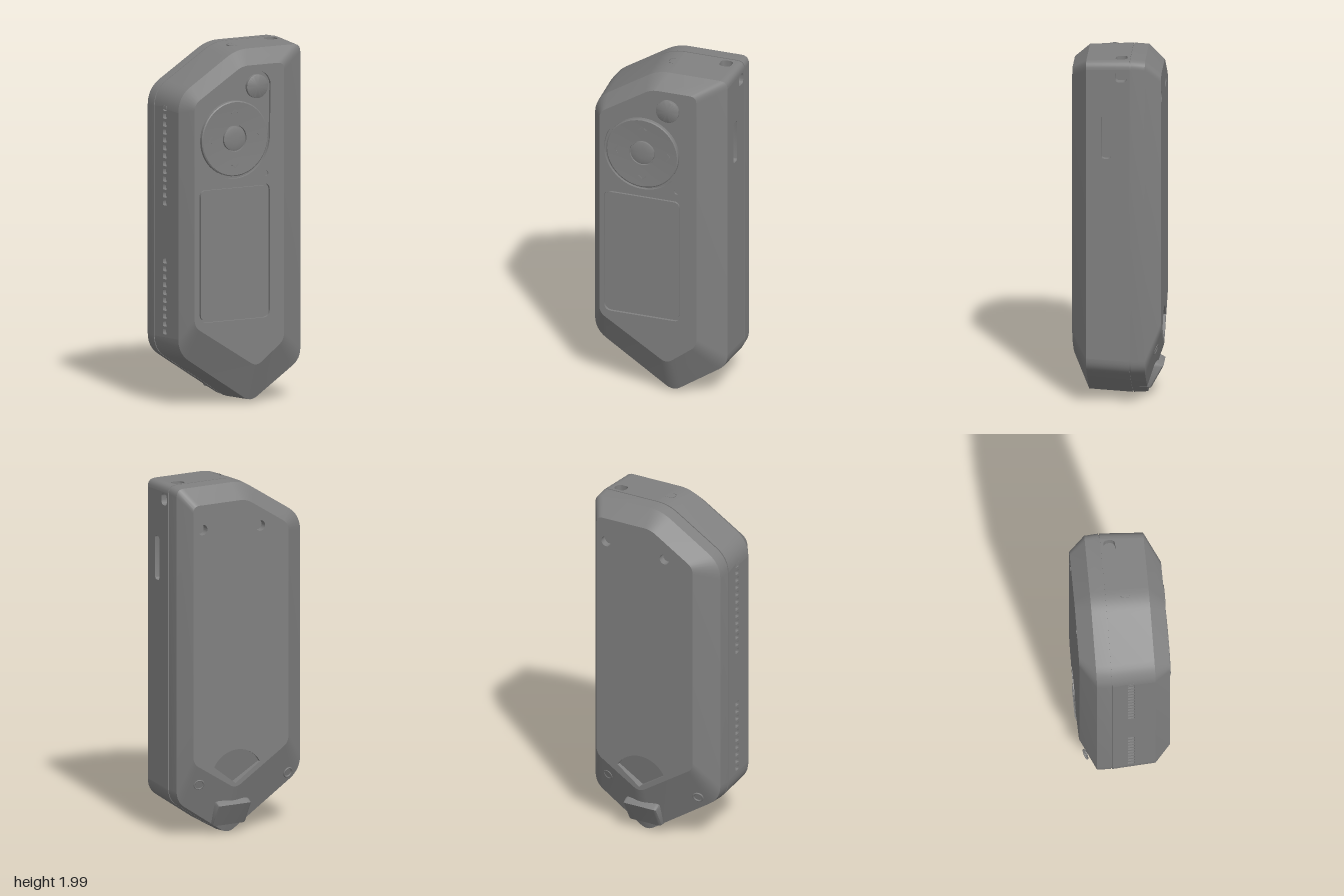
import * as THREE from 'three';
import { toCreasedNormals } from 'three/addons/utils/BufferGeometryUtils.js';

const grey = new THREE.MeshStandardMaterial({ color: 0x808080, side: THREE.DoubleSide });
grey.name = 'casing grey';
const V2 = (x, y) => new THREE.Vector2(x, y);
const STEPS = 6;

// Polygon with each corner cut back and rounded; STEPS + 1 points per corner
function rounded(corners, cuts, steps = STEPS) {
  const c = corners.map(([x, y]) => V2(x, y)), out = [];
  c.forEach((p, i) => {
    const cut = Array.isArray(cuts) ? cuts[i] : cuts;
    const toward = (q) => p.clone().add(q.clone().sub(p).setLength(cut));
    const a = toward(c[(i + c.length - 1) % c.length]), b = toward(c[(i + 1) % c.length]);
    out.push(...new THREE.QuadraticBezierCurve(a, p, b).getPoints(steps));
  });
  return out;
}
const rect = (x0, x1, y0, y1, r, steps) => rounded([[x0, y0], [x1, y0], [x1, y1], [x0, y1]], r, steps);

function arc(cx, cy, r, a0 = 0, a1 = Math.PI * 2, n = 40) {
  const full = a1 - a0 > 6.28, pts = [];
  for (let i = 0; i < (full ? n : n + 1); i++) {
    const a = a0 + (a1 - a0) * i / n;
    pts.push(V2(cx + r * Math.cos(a), cy + r * Math.sin(a)));
  }
  return pts;
}

function soup(points) {
  const g = new THREE.BufferGeometry().setFromPoints(points);
  g.computeVertexNormals();
  return g;
}

// Flat wall with sunk pockets; map(u, v, depth) places it in space
function panel(outline, pockets, map, flip) {
  const tris = [];
  const tri = (a, b, c) => tris.push(...(flip ? [a, c, b] : [a, b, c]));
  const fill = (shape, depth) => {
    const g = new THREE.ShapeGeometry(shape), p = g.attributes.position, id = g.index.array;
    const at = (i) => map(p.getX(i), p.getY(i), depth(p.getX(i), p.getY(i)));
    for (let i = 0; i < id.length; i += 3) tri(at(id[i]), at(id[i + 1]), at(id[i + 2]));
  };
  const face = new THREE.Shape(outline);
  for (const { pts, depth } of pockets) {
    const d = typeof depth === 'function' ? depth : () => depth;
    face.holes.push(new THREE.Path(pts));
    fill(new THREE.Shape(pts), d);
    pts.forEach((a, i) => {
      const b = pts[(i + 1) % pts.length];
      const a0 = map(a.x, a.y, 0), b0 = map(b.x, b.y, 0);
      const a1 = map(a.x, a.y, d(a.x, a.y)), b1 = map(b.x, b.y, d(b.x, b.y));
      tri(a0, b0, b1);
      tri(a0, b1, a1);
    });
  }
  fill(face, () => 0);
  return toCreasedNormals(soup(tris), 0.5);
}

export function createModel() {
  const group = new THREE.Group();
  const add = (name, geometry, x = 0, y = 0, z = 0) => {
    const m = new THREE.Mesh(geometry, grey);
    m.name = name;
    m.position.set(x, y, z);
    group.add(m);
    return m;
  };

  // Casing cross-sections, front to back
  const cuts = [0.05, 0.06, 0.045, 0.07, 0.09, 0.08];
  const full = [[0.07, 0], [0.4, 0.22], [0.4, 2], [-0.02, 2], [-0.4, 1.76], [-0.4, 0.31]];
  const groove = full.map(([x, y]) => [x * 0.985, 1 + (y - 1) * 0.994]);
  const rings = [
    [0.245, [[0.06, 0.225], [0.235, 0.36], [0.235, 1.91], [-0.03, 1.91], [-0.333, 1.72], [-0.333, 0.475]], 0.04],
    [0.16, [[0.07, 0.015], [0.387, 0.23], [0.387, 1.99], [-0.02, 1.99], [-0.388, 1.755], [-0.388, 0.32]], cuts],
    [-0.081, full, cuts],
    [-0.081, groove, cuts],
    [-0.088, groove, cuts],
    [-0.088, full, cuts],
    [-0.165, [[0.07, 0.005], [0.396, 0.223], [0.396, 1.995], [-0.02, 1.995], [-0.396, 1.757], [-0.396, 0.313]], cuts],
    [-0.252, [[0.07, 0.28], [0.34, 0.45], [0.34, 1.91], [0.0, 1.91], [-0.27, 1.74], [-0.27, 0.5]], 0.04],
  ].map(([z, c, cut]) => ({ z, pts: rounded(c, cut) }));

  // Casing sides; the right, top and left walls of the front half are panels with openings
  const count = rings[0].pts.length, N = STEPS + 1, sides = [];
  const panelEdges = [1, 2, 4].map((e) => e * N + STEPS);
  for (let k = 0; k < rings.length - 1; k++) {
    for (let i = 0; i < count; i++) {
      if (k === 1 && panelEdges.includes(i)) continue;
      const j = (i + 1) % count;
      const at = (r, n) => new THREE.Vector3(r.pts[n].x, r.pts[n].y, r.z);
      const a = at(rings[k], i), b = at(rings[k], j), c = at(rings[k + 1], i), d = at(rings[k + 1], j);
      sides.push(a, c, b, b, c, d);
    }
  }
  add('casingSides', toCreasedNormals(soup(sides), 0.45));

  const front = rings[1], seam = rings[2];
  function wall(name, edge, axis, sign, flip, pockets) {
    const s = axis === 'x' ? 'y' : 'x', i = edge * N + STEPS, j = (i + 1) % count;
    const outline = [V2(front.pts[i][s], front.z), V2(front.pts[j][s], front.z),
      V2(seam.pts[j][s], seam.z), V2(seam.pts[i][s], seam.z)];
    const map = (u, z, d) => {
      const t = (front.z - z) / (front.z - seam.z);
      const h = front.pts[i][axis] * (1 - t) + seam.pts[i][axis] * t - sign * d;
      return axis === 'x' ? new THREE.Vector3(h, u, z) : new THREE.Vector3(u, h, z);
    };
    add(name, panel(outline, pockets, map, flip));
  }
  wall('leftWall', 1, 'x', 1, false, [
    { pts: rect(1.44, 1.69, 0.024, 0.074, 0.018), depth: 0.03 },
    { pts: rect(1.88, 1.945, -0.065, 0, 0.025), depth: 0.05 },
  ]);
  wall('topWall', 2, 'y', 1, true, [
    { pts: rect(0, 0.17, 0, 0.057, 0.028), depth: 0.03 },
    { pts: rect(0.275, 0.345, -0.065, 0, 0.028), depth: 0.05 },
  ]);
  const vents = [];
  for (const [start, n] of [[1.13, 13], [0.41, 10]]) {
    for (let i = 0; i < n; i++) {
      const y = start + i * 0.044;
      vents.push({ pts: rect(y, y + 0.028, 0.005, 0.042, 0.006, 2), depth: 0.02 });
    }
  }
  wall('rightWall', 4, 'x', -1, true, vents);
  add('portTongue', new THREE.BoxGeometry(0.13, 0.022, 0.016), 0.085, 1.974, 0.0285);

  // Front face with screen, keypad and indicator recesses
  const pad = V2(-0.08, 1.51), small = V2(0.065, 1.79), R = 0.225, r = 0.085;
  const d = small.clone().sub(pad), phi = d.angle(), alpha = Math.acos((R - r) / d.length());
  const teardrop = [...arc(small.x, small.y, r, phi - alpha, phi + alpha, 20),
    ...arc(pad.x, pad.y, R, phi + alpha, phi - alpha + Math.PI * 2, 40)];
  const zf = rings[0].z;
  add('frontFace', panel(rings[0].pts, [
    { pts: rect(-0.305, 0.145, 0.495, 1.245, 0.045), depth: 0.015 },
    { pts: teardrop, depth: 0.015 },
    { pts: arc(0.12, 1.3, 0.015, 0, Math.PI * 2, 16), depth: 0.01 },
  ], (x, y, dd) => new THREE.Vector3(x, y, zf - dd), false));
  add('screen', new THREE.ExtrudeGeometry(new THREE.Shape(rect(-0.293, 0.133, 0.507, 1.233, 0.035)),
    { depth: 0.013, bevelEnabled: false }), 0, 0, zf - 0.015);

  // Buttons: slightly dished pad, domed centre, small upper button
  const turned = (name, profile, x, y) => {
    const g = new THREE.LatheGeometry(profile.map(([a, b]) => V2(a, b)), 48).rotateX(Math.PI / 2);
    add(name, toCreasedNormals(g, 0.6), x, y, zf);
  };
  turned('directionPad', [[0.21, -0.015], [0.21, 0.004], [0.204, 0.008], [0.14, 0.004], [0.075, 0.002], [0.075, -0.012]], pad.x, pad.y);
  turned('centreButton', [[0.068, -0.015], [0.068, 0.003], [0.055, 0.007], [0.03, 0.009], [0, 0.01]], pad.x, pad.y);
  turned('upperButton', [[0.066, -0.015], [0.066, 0.003], [0.061, 0.006], [0, 0.006]], small.x, small.y);
  for (let i = 0; i < 4; i++) {
    for (const s of [-1, 1]) {
      const g = new THREE.BoxGeometry(0.005, 0.03, 0.003).rotateZ(s * 0.7)
        .translate(0.152, s * 0.011, 0.005).rotateZ(i * Math.PI / 2);
      add('arrowMark', g, pad.x, pad.y, zf);
    }
  }

  // Back face with thumb scoop and upper screw holes
  const edge = (x) => 0.31 + 0.64 * Math.abs(x - 0.07);
  const scoop = arc(0.06, 0.33, 0.17, -Math.PI / 2, Math.PI * 1.5 - 0.001, 60).filter((p) => p.y > edge(p.x));
  scoop.push(V2(0.07, 0.31));
  const back = rings[rings.length - 1];
  add('backFace', panel(back.pts, [
    { pts: scoop, depth: (x, y) => 0.004 + 0.2 * (0.5 - y) },
    { pts: arc(0.28, 1.77, 0.03, 0, Math.PI * 2, 24), depth: 0.04 },
    { pts: arc(-0.09, 1.75, 0.03, 0, Math.PI * 2, 24), depth: 0.04 },
  ], (x, y, dd) => new THREE.Vector3(x, y, back.z + dd), true));

  // Lower screw rims on the sloped bottom edge
  for (const s of [-1, 1]) {
    const rim = add('screwRim', new THREE.TorusGeometry(0.027, 0.005, 8, 24), s * 0.285, 0.32, -0.219);
    rim.quaternion.setFromUnitVectors(new THREE.Vector3(0, 0, 1), new THREE.Vector3(s * 0.2, -0.31, -0.93).normalize());
  }

  // Lever tongue at the bottom of the back
  const profile = new THREE.Shape([V2(-0.1, 0.19), V2(-0.215, 0.198), V2(-0.238, 0.185), V2(-0.178, 0.075), V2(-0.1, 0.075)]);
  const lever = new THREE.ExtrudeGeometry(profile, { depth: 0.17, bevelSize: 0.012, bevelThickness: 0.02, bevelSegments: 3 });
  lever.rotateY(-Math.PI / 2);
  add('lever', toCreasedNormals(lever, 0.6), 0.155, 0, 0);

  return group;
}
